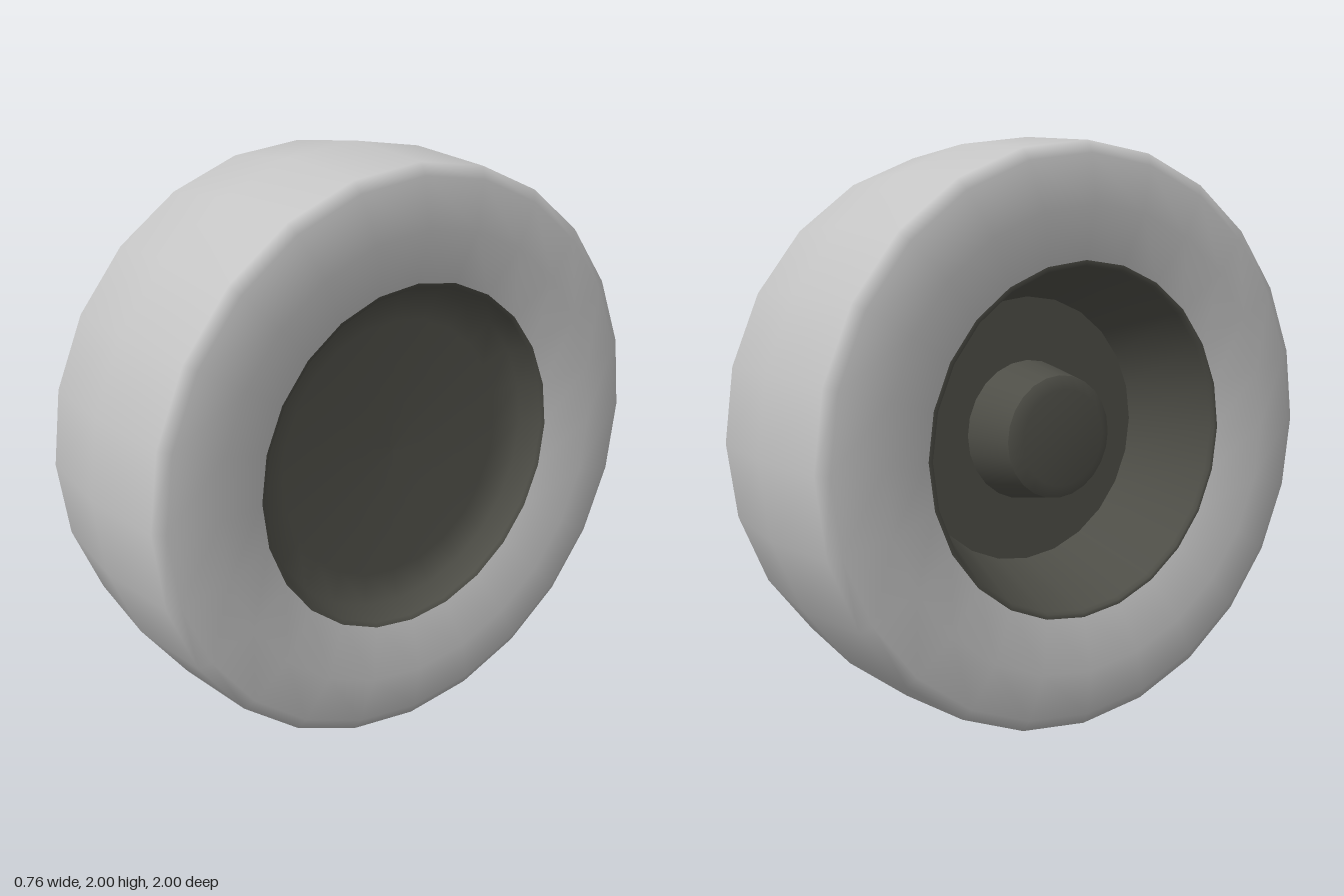
import * as THREE from 'three';

const SIDES = 24;

export function createModel() {
  const rubber = new THREE.MeshStandardMaterial({ color: 0xc4c4c4 });
  rubber.name = 'lightGreyTyre';
  const metal = new THREE.MeshStandardMaterial({ color: 0x4e4e47 });
  metal.name = 'darkOliveRim';

  const wheel = new THREE.Group();
  wheel.name = 'wheel';

  // Profile points are [radius, x]; every part turns about the x axle.
  // Points run from the -x side to the +x side so faces point outwards.
  function turn(name, profile, material) {
    const points = profile.map(([r, x]) => new THREE.Vector2(r, x));
    const geometry = new THREE.LatheGeometry(points, SIDES);
    geometry.rotateZ(-Math.PI / 2);
    const mesh = new THREE.Mesh(geometry, material);
    mesh.name = name;
    mesh.position.y = 1;
    wheel.add(mesh);
  }

  // Tyre: crowned tread, rounded shoulders, sidewalls that sink towards the rim
  const side = [[0.595, 0.333], [0.77, 0.378], [0.93, 0.356], [0.97, 0.335]];
  turn('tyre', [
    ...side.map(([r, x]) => [r, -x]),
    [1, 0],
    ...side.slice().reverse(),
  ], rubber);

  // Closed shallow bowl on the +x side
  turn('outerDish', [
    [0.595, 0.333], [0.58, 0.325], [0.55, 0.25], [0.45, 0.22], [0, 0.21],
  ], metal);

  // Deep cone, back plate and axle hub on the -x side, split at sharp edges
  turn('hubCap', [[0, -0.215], [0.165, -0.215], [0.21, -0.19]], metal);
  turn('hubSide', [[0.21, -0.19], [0.245, 0]], metal);
  turn('backPlate', [[0.245, 0], [0.465, 0]], metal);
  turn('innerCone', [[0.465, 0], [0.575, -0.315]], metal);
  turn('innerLip', [[0.575, -0.315], [0.58, -0.333], [0.595, -0.333]], metal);

  return wheel;
}
